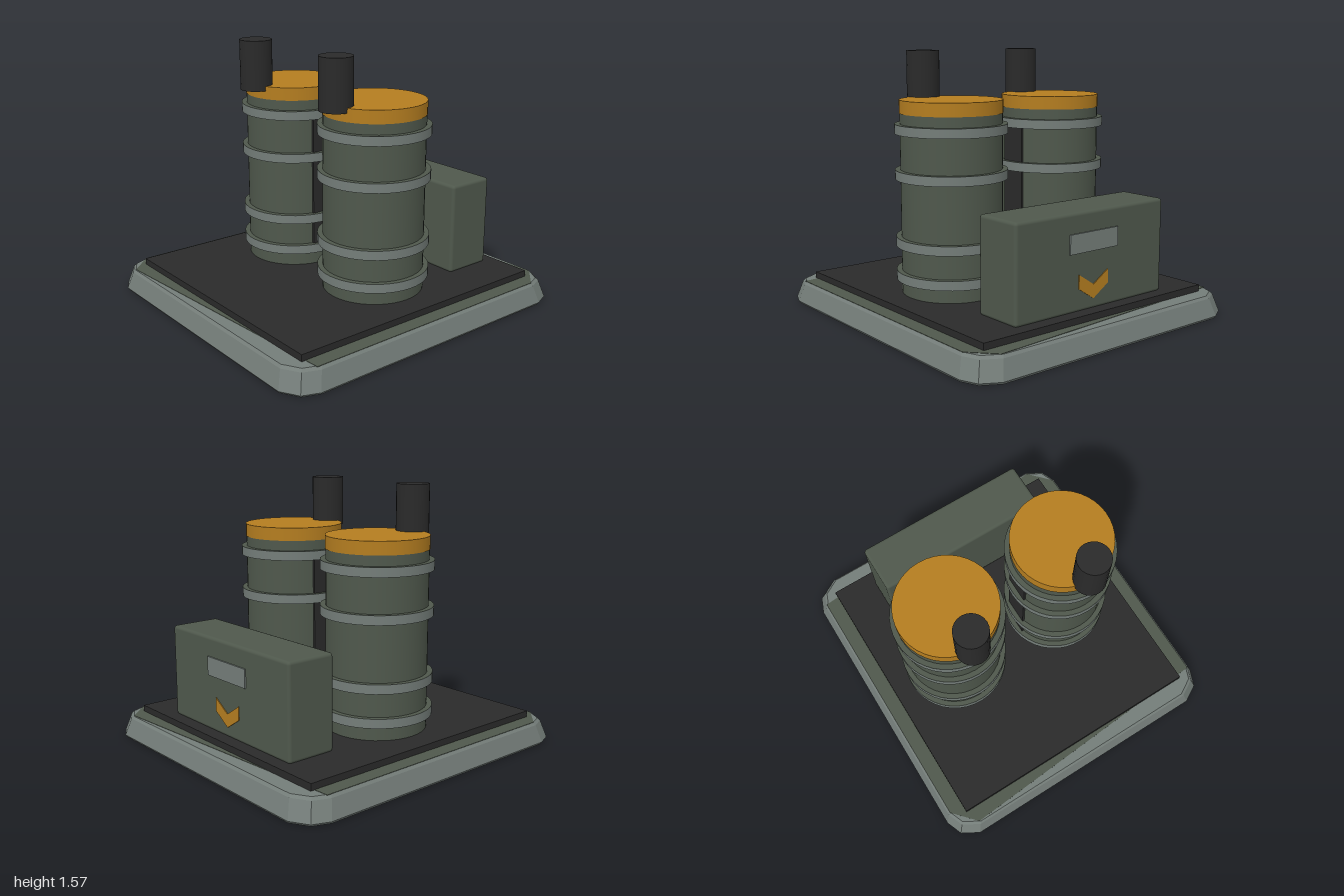
import * as THREE from 'three';
import { RoundedBoxGeometry } from 'three/addons/geometries/RoundedBoxGeometry.js';

const mat = (name, color) => {
  const m = new THREE.MeshStandardMaterial({ color });
  m.name = name;
  return m;
};

// Faceted solid through stacked outlines: layers are [y, inset]
function loft(outline, layers) {
  const pos = [];
  const n = outline.length;
  const point = (i, [y, inset]) => {
    const [x, z] = outline[i % n];
    return [x * (1 - inset / 0.955), y, z * (1 - inset)];
  };
  for (let l = 0; l < layers.length - 1; l++) {
    for (let i = 0; i < n; i++) {
      const a = point(i, layers[l]), b = point(i + 1, layers[l]);
      const c = point(i + 1, layers[l + 1]), d = point(i, layers[l + 1]);
      pos.push(...a, ...d, ...b, ...b, ...d, ...c);
    }
  }
  const low = layers[0], high = layers[layers.length - 1];
  for (let i = 0; i < n; i++) {
    pos.push(0, high[0], 0, ...point(i + 1, high), ...point(i, high));
    pos.push(0, low[0], 0, ...point(i, low), ...point(i + 1, low));
  }
  const g = new THREE.BufferGeometry();
  g.setAttribute('position', new THREE.Float32BufferAttribute(pos, 3));
  g.computeVertexNormals();
  return g;
}

function extrude(points, depth) {
  const shape = new THREE.Shape(points.map(([x, y]) => new THREE.Vector2(x, y)));
  return new THREE.ExtrudeGeometry(shape, { depth, bevelEnabled: false });
}

export function createModel() {
  const grey = mat('steelGrey', 0x747d79);
  const green = mat('olive', 0x4f584c);
  const black = mat('charcoal', 0x2a2a2a);
  const orange = mat('amber', 0xb47d20);

  const model = new THREE.Group();
  model.name = 'twinTankUnit';
  const add = (parent, name, geometry, material, x = 0, y = 0, z = 0) => {
    const mesh = new THREE.Mesh(geometry, material);
    mesh.name = name;
    mesh.position.set(x, y, z);
    parent.add(mesh);
    return mesh;
  };

  // Tapered base slab with cut corners
  const corner = [[0.955, 0.84], [0.915, 0.94], [0.81, 1]];
  const flipped = [...corner].reverse();
  const outline = [
    ...corner,
    ...flipped.map(([x, z]) => [-x, z]),
    ...corner.map(([x, z]) => [-x, -z]),
    ...flipped.map(([x, z]) => [x, -z]),
  ];
  add(model, 'base', loft(outline, [[0, 0.01], [0.015, 0], [0.12, 0.032], [0.135, 0.045]]), grey);

  // Green skin on the base top
  const skin = extrude([[-0.91, -0.83], [0.78, -0.95], [0.91, -0.81],
    [0.91, 0.83], [-0.78, 0.95], [-0.91, 0.81]], 0.003);
  skin.rotateX(Math.PI / 2);
  add(model, 'baseSkin', skin, green, 0, 0.137, 0);

  // Dark deck
  add(model, 'deck', new THREE.BoxGeometry(1.64, 0.045, 1.72), black, 0, 0.1525, 0);

  // Two banded tanks with caps and exhaust pipes
  for (const side of [-1, 1]) {
    const tank = new THREE.Group();
    tank.name = side > 0 ? 'leftTank' : 'rightTank';
    tank.position.x = side * 0.378;
    model.add(tank);
    add(tank, 'tankBody', new THREE.CylinderGeometry(0.295, 0.295, 1.07, 40), green, 0, 0.705, 0);
    for (const y of [0.283, 0.48, 0.868, 1.13]) {
      add(tank, 'band', new THREE.CylinderGeometry(0.326, 0.326, 0.055, 40), [grey, green, grey], 0, y, 0);
    }
    add(tank, 'cap', new THREE.CylinderGeometry(0.298, 0.298, 0.077, 40), orange, 0, 1.256, 0);
    add(tank, 'exhaustPipe', new THREE.CylinderGeometry(0.097, 0.097, 0.3, 24), black, 0, 1.416, 0.28);
    // Dark strip on the inner side
    add(tank, 'innerStrip', new THREE.BoxGeometry(0.04, 0.86, 0.16), black, -side * 0.276, 0.71, 0);
  }

  // Control cabinet at the back
  const cabinet = new THREE.Group();
  cabinet.name = 'cabinet';
  model.add(cabinet);
  add(cabinet, 'cabinetBody', new RoundedBoxGeometry(1.11, 0.555, 0.305, 2, 0.02), green, 0, 0.4475, -0.6325);
  add(cabinet, 'ventPlate', new THREE.BoxGeometry(0.36, 0.11, 0.009), grey, 0, 0.555, -0.789);
  const chevron = extrude([[-0.11, 0.38], [-0.11, 0.3], [0, 0.23], [0.11, 0.3], [0.11, 0.38], [0, 0.31]], 0.006);
  add(cabinet, 'chevron', chevron, orange, 0, 0, -0.79);

  return model;
}
